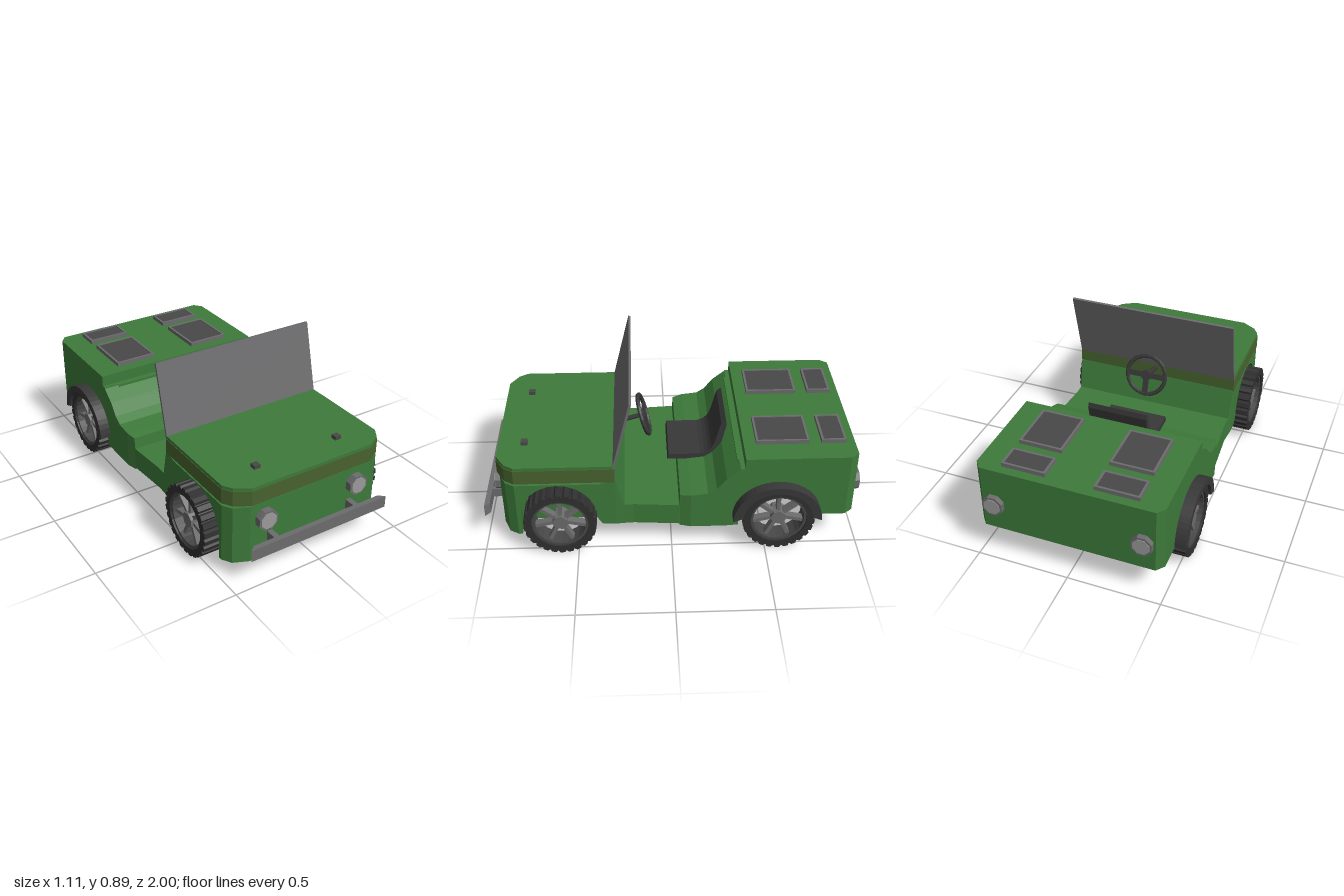
import * as THREE from 'three';

const mat = (color) => new THREE.MeshStandardMaterial({ color, flatShading: true });
const green = mat(0x3d7a3a), olive = mat(0x48632f), dark = mat(0x383838), tyre = mat(0x303030);
const grey = mat(0x6c6c6e), panel = mat(0x484848), lens = mat(0x9a9a9a);

// Box-shaped loft through stations [z, bottom, top, halfWidth], listed front to back
function loft(stations) {
  const pos = [];
  const rings = stations.map(([z, b, t, w]) => [[-w, b, z], [w, b, z], [w, t, z], [-w, t, z]]);
  const quad = (a, b, c, d) => pos.push(...a, ...b, ...c, ...a, ...c, ...d);
  quad(...rings[0]);
  for (let i = 0; i < rings.length - 1; i++) {
    const a = rings[i], b = rings[i + 1];
    for (let k = 0; k < 4; k++) quad(a[k], b[k], b[(k + 1) % 4], a[(k + 1) % 4]);
  }
  quad(...[...rings[rings.length - 1]].reverse());
  const g = new THREE.BufferGeometry();
  g.setAttribute('position', new THREE.Float32BufferAttribute(pos, 3));
  g.computeVertexNormals();
  return g;
}

// Extrude a (z, y) side outline across x, centred on x = 0
function sideExtrude(shape, width, curveSegments = 12) {
  const g = new THREE.ExtrudeGeometry(shape, { depth: width, bevelEnabled: false, curveSegments });
  return g.rotateY(-Math.PI / 2).translate(width / 2, 0, 0);
}

function add(parent, name, geometry, material, x = 0, y = 0, z = 0) {
  const m = new THREE.Mesh(geometry, material);
  m.name = name;
  m.position.set(x, y, z);
  parent.add(m);
  return m;
}

const box = (w, h, d) => new THREE.BoxGeometry(w, h, d);

// Wheel-arch stations: the underside follows a half circle
function arch(cz, r, top, width) {
  const out = [];
  for (let i = 0; i <= 12; i++) {
    const a = (i / 12) * Math.PI, z = cz + r * Math.cos(a);
    out.push([z, 0.2 + r * Math.sin(a), top(z), width]);
  }
  return out;
}

function makeWheel() {
  const wheel = new THREE.Group();
  wheel.name = 'wheel';
  // Tyre with tread blocks
  const outline = [], lugs = 26;
  for (let i = 0; i < lugs; i++) {
    [[0, 0.181], [0.18, 0.193], [0.7, 0.193], [0.88, 0.181]].forEach(([f, r]) => {
      const a = ((i + f) / lugs) * Math.PI * 2;
      outline.push(new THREE.Vector2(r * Math.cos(a), r * Math.sin(a)));
    });
  }
  const ring = new THREE.Shape(outline);
  ring.holes.push(new THREE.Path().absarc(0, 0, 0.15, 0, Math.PI * 2, true));
  add(wheel, 'tyre', sideExtrude(ring, 0.12), tyre);
  // Rim, hub and spokes
  const rim = new THREE.Shape().absarc(0, 0, 0.153, 0, Math.PI * 2);
  rim.holes.push(new THREE.Path().absarc(0, 0, 0.136, 0, Math.PI * 2, true));
  add(wheel, 'rim', sideExtrude(rim, 0.1), panel);
  add(wheel, 'hub', new THREE.CylinderGeometry(0.042, 0.042, 0.09, 7).rotateZ(Math.PI / 2), grey);
  for (let i = 0; i < 7; i++) {
    const spoke = box(0.04, 0.115, 0.02).translate(0, 0.088, 0).rotateX((i / 7) * Math.PI * 2);
    add(wheel, 'spoke', spoke, grey, 0.01);
  }
  return wheel;
}

// Octagonal lamp facing +z
function makeLamp(name, depth) {
  const lamp = new THREE.Group();
  lamp.name = name;
  const oct = (r, d) => new THREE.CylinderGeometry(r, r, d, 8).rotateY(Math.PI / 8).rotateX(Math.PI / 2);
  add(lamp, 'lampRim', oct(0.058, depth), grey);
  add(lamp, 'lampLens', oct(0.046, 0.008), lens, 0, 0, depth / 2);
  return lamp;
}

export function createModel() {
  const car = new THREE.Group();
  car.name = 'offRoadCar';

  // Body shell from nose to tail, with both wheel arches
  const rearTop = (z) => (z > -0.38 ? 0.5 : 0.56);
  const body = [
    [0.905, 0.08, 0.405, 0.36], [0.87, 0.08, 0.405, 0.44], [0.82, 0.08, 0.405, 0.47], [0.8, 0.08, 0.405, 0.47],
    ...arch(0.6, 0.2, () => 0.405, 0.47),
    [0.4, 0.19, 0.405, 0.47], [0.37, 0.14, 0.405, 0.47], [0.295, 0.135, 0.43, 0.47],
    [0.25, 0.135, 0.26, 0.465], [0.2, 0.135, 0.26, 0.462], [-0.04, 0.135, 0.26, 0.48],
    [-0.045, 0.125, 0.325, 0.48], [-0.1, 0.125, 0.335, 0.495], [-0.19, 0.125, 0.345, 0.495],
    [-0.235, 0.125, 0.375, 0.495], [-0.285, 0.125, 0.44, 0.495], [-0.355, 0.13, 0.495, 0.495],
    ...arch(-0.56, 0.205, rearTop, 0.495).flatMap((s, i) =>
      i === 1 ? [[-0.38, 0.28, 0.5, 0.495], [-0.38, 0.28, 0.56, 0.495]] : [s]),
    [-0.765, 0.19, 0.56, 0.495], [-0.925, 0.19, 0.56, 0.495], [-0.968, 0.19, 0.56, 0.46],
  ];
  add(car, 'body', loft(body), green);
  // Inner chassis between the wheels
  add(car, 'frontChassis', box(0.82, 0.26, 0.48), green, 0, 0.265, 0.6);
  add(car, 'rearChassis', box(0.82, 0.25, 0.45), green, 0, 0.375, -0.57);

  // Hood: dark seam, olive band and green lid
  const hood = (b, t, inset) => loft([
    [0.917 - inset, b, t, 0.36], [0.87 - inset, b, t, 0.44 - inset],
    [0.82 - inset, b, t, 0.472 - inset], [0.297, b, t, 0.472 - inset],
  ]);
  add(car, 'hoodSeam', hood(0.4, 0.43, 0.02), dark);
  add(car, 'hoodBand', hood(0.418, 0.5, 0), olive);
  add(car, 'hoodLid', hood(0.5, 0.517, 0.003), green);

  // Windshield leaning back
  const glass = new THREE.Shape([[0.3, 0.485], [0.312, 0.485], [0.213, 0.893], [0.2, 0.89]].map((p) => new THREE.Vector2(...p)));
  add(car, 'windshield', sideExtrude(glass, 0.94), grey);

  // Seat from a curved side outline
  const seat = new THREE.Shape();
  seat.moveTo(0.012, 0.335);
  seat.lineTo(0.005, 0.365);
  seat.lineTo(-0.17, 0.365);
  seat.quadraticCurveTo(-0.235, 0.38, -0.25, 0.45);
  seat.lineTo(-0.28, 0.565);
  seat.lineTo(-0.305, 0.585);
  seat.lineTo(-0.31, 0.555);
  seat.lineTo(-0.28, 0.42);
  seat.quadraticCurveTo(-0.25, 0.33, -0.17, 0.328);
  add(car, 'seat', sideExtrude(seat, 0.33, 5), dark);

  // Steering wheel and column
  const steering = new THREE.Group();
  steering.name = 'steeringWheel';
  steering.position.set(0, 0.525, 0.137);
  steering.rotation.x = 0.29;
  add(steering, 'steeringRim', new THREE.TorusGeometry(0.113, 0.012, 6, 20), dark);
  [0, Math.PI, -Math.PI / 2].forEach((a) =>
    add(steering, 'steeringSpoke', box(0.11, 0.03, 0.012).translate(0.055, 0, 0).rotateZ(a), dark));
  add(steering, 'steeringHub', new THREE.CylinderGeometry(0.03, 0.03, 0.025, 8).rotateX(Math.PI / 2), dark);
  add(steering, 'steeringColumn', new THREE.CylinderGeometry(0.013, 0.013, 0.17, 8).rotateX(Math.PI / 2), dark, 0, 0, 0.085);
  car.add(steering);

  // Bumper bar with tapered ends
  add(car, 'bumper', loft([[1, 0.165, 0.23, 0.415], [0.972, 0.165, 0.23, 0.385]]), grey);

  // Rear fender outline
  const fender = new THREE.Shape();
  fender.absellipse(0, 0, 0.235, 0.217, 0, Math.PI, false);
  fender.lineTo(-0.18, 0.04);
  fender.absellipse(0, 0.02, 0.182, 0.16, Math.PI, 0, true);

  for (const s of [1, -1]) {
    for (const z of [0.59, -0.565]) {
      const wheel = makeWheel();
      wheel.position.set(s * 0.48, 0.195, z);
      wheel.rotation.y = s > 0 ? 0 : Math.PI;
      car.add(wheel);
    }
    add(car, 'rearFender', sideExtrude(fender, 0.07), dark, s * 0.52, 0.197, -0.557);

    // Lamps, bumper mounts and hood latches
    const head = makeLamp('headlight', 0.04);
    head.position.set(s * 0.277, 0.315, 0.92);
    const tail = makeLamp('tailLight', 0.028);
    tail.position.set(s * 0.395, 0.35, -0.982);
    tail.rotation.y = Math.PI;
    car.add(head, tail);
    add(car, 'bumperMount', box(0.03, 0.05, 0.09), grey, s * 0.245, 0.198, 0.94);
    add(car, 'hoodLatch', box(0.034, 0.024, 0.034), panel, s * 0.248, 0.525, 0.775);

    // Framed hatches on the rear deck
    for (const [z, d] of [[-0.585, 0.28], [-0.855, 0.13]]) {
      const hatch = new THREE.Group();
      hatch.name = 'hatch';
      hatch.position.set(s * 0.245, 0.57, z);
      for (const e of [1, -1]) {
        add(hatch, 'hatchFrame', box(0.012, 0.024, d), grey, e * 0.112);
        add(hatch, 'hatchFrame', box(0.212, 0.024, 0.012), grey, 0, 0, e * (d / 2 - 0.006));
      }
      add(hatch, 'hatchPanel', box(0.214, 0.016, d - 0.02), panel);
      car.add(hatch);
    }
  }
  return car;
}
